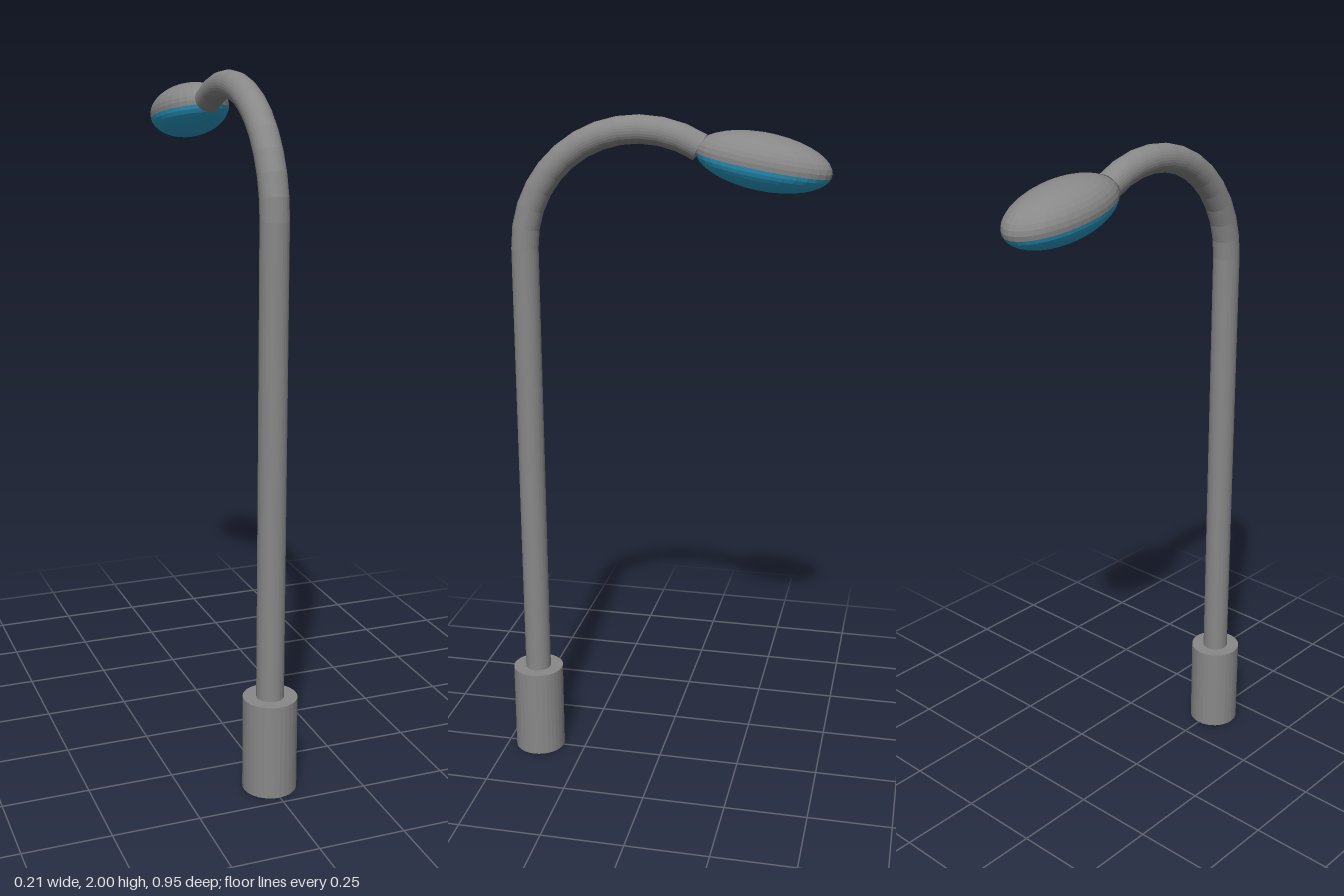
import * as THREE from 'three';

export function createModel() {
  const lamp = new THREE.Group();
  lamp.name = 'streetLamp';
  const grey = new THREE.MeshStandardMaterial({ color: 0x888888, flatShading: true });
  const blue = new THREE.MeshStandardMaterial({ color: 0x2b9cc6, flatShading: true });

  const add = (name, geometry, material, parent = lamp) => {
    const mesh = new THREE.Mesh(geometry, material);
    mesh.name = name;
    parent.add(mesh);
    return mesh;
  };

  const poleX = -0.002, poleZ = 0.398, poleR = 0.0395, baseH = 0.28;
  const bendR = 0.34, bendY = 1.621, bendZ = poleZ - bendR;
  const bendAngle = THREE.MathUtils.degToRad(120);

  // Base sleeve
  add('base', new THREE.CylinderGeometry(0.078, 0.078, baseH, 32), grey)
    .position.set(poleX, baseH / 2, poleZ);

  // Straight pole
  const poleH = bendY - baseH;
  add('pole', new THREE.CylinderGeometry(poleR, poleR, poleH, 32, 1, true), grey)
    .position.set(poleX, baseH + poleH / 2, poleZ);

  // Curved arm, sweeping up and over towards the back
  const arm = new THREE.TorusGeometry(bendR, poleR, 32, 12, bendAngle);
  arm.rotateY(-Math.PI / 2);
  add('arm', arm, grey).position.set(poleX, bendY, bendZ);

  // Flat end of the arm where it enters the head
  const armEnd = add('armEnd', new THREE.CircleGeometry(poleR, 32), grey);
  armEnd.position.set(poleX, bendY + bendR * Math.sin(bendAngle), bendZ + bendR * Math.cos(bendAngle));
  armEnd.rotation.x = bendAngle + Math.PI / 6;

  // Tilted lamp head: ellipsoid split just below its middle into housing and lens
  const head = new THREE.Group();
  head.name = 'head';
  head.position.set(0, 1.881, -0.288);
  head.rotation.x = THREE.MathUtils.degToRad(-10);
  lamp.add(head);
  const split = THREE.MathUtils.degToRad(97);
  const shell = (start, end) =>
    new THREE.SphereGeometry(1, 32, 10, 0, Math.PI * 2, start, end - start).scale(0.107, 0.077, 0.191);
  add('housing', shell(0, split), grey, head);
  add('lens', shell(split, Math.PI), blue, head);

  return lamp;
}
